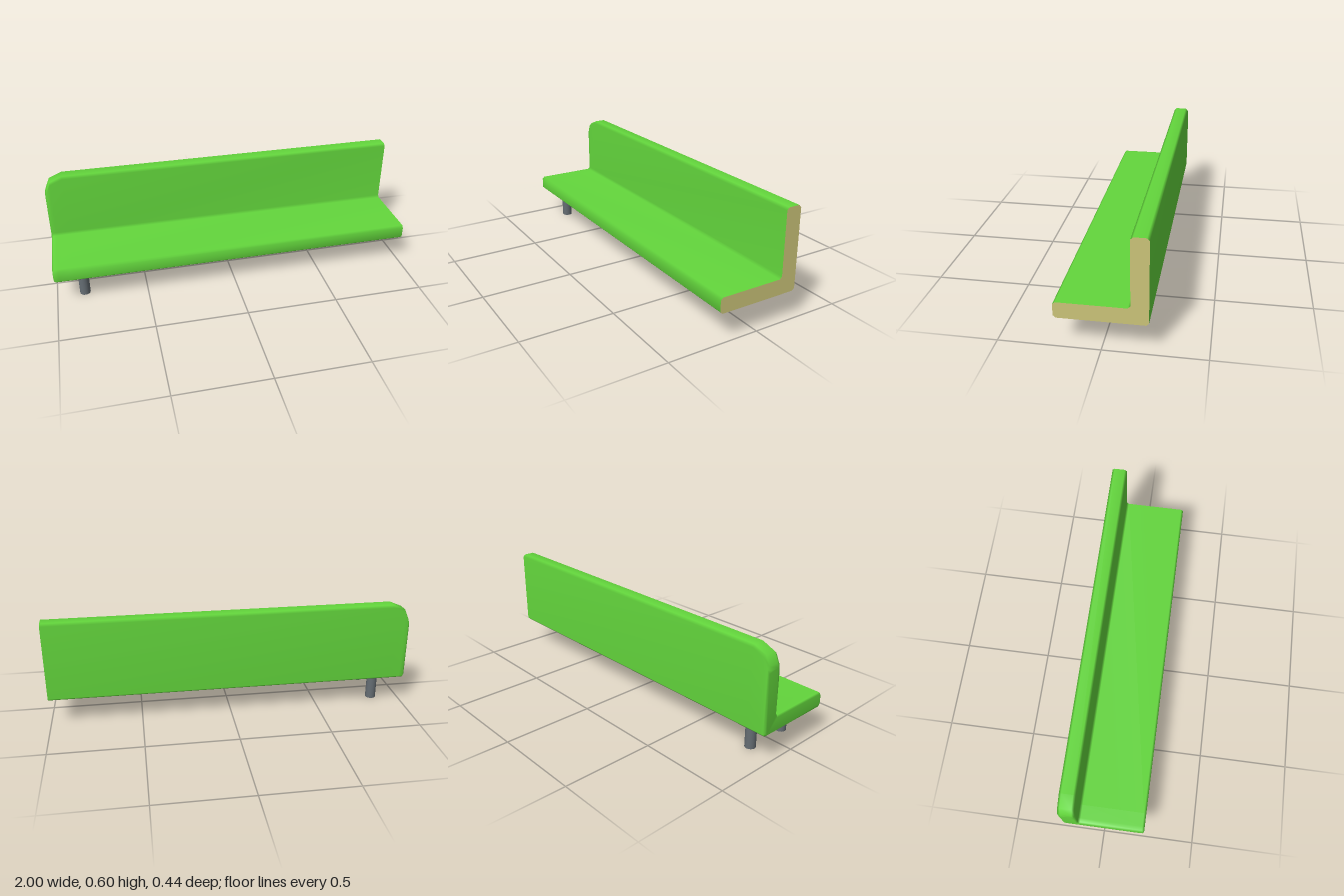
import * as THREE from 'three';

const green = new THREE.MeshStandardMaterial({ color: 0x63d63c });
green.name = 'green upholstery';
const tan = new THREE.MeshStandardMaterial({ color: 0xcdc67a });
tan.name = 'tan cut face';
const grey = new THREE.MeshStandardMaterial({ color: 0x656d73 });
grey.name = 'grey metal';

// L-shaped section as (z, y), chamfered by c, with every side drawn in by d
function section(top, d = 0, c = 0.0125) {
  const front = 0.2225 - d, back = -0.2225 + d, rest = -0.1375 - d;
  const bottom = 0.157 + d, seat = 0.24 - d;
  return [
    [front, bottom + c], [front, seat - c], [front - c, seat],
    [rest + c, seat], [rest, seat + c], [rest, top - c], [rest - c, top],
    [back + c, top], [back, top - c], [back, bottom + c],
    [back + c, bottom], [front - c, bottom],
  ].map(([z, y]) => new THREE.Vector2(z, y));
}

function geometryFrom(positions, index) {
  const g = new THREE.BufferGeometry();
  g.setAttribute('position', new THREE.Float32BufferAttribute(positions, 3));
  g.setIndex(index);
  g.computeVertexNormals();
  return g;
}

// Bench skin: sections swept along x, closed at the rounded end
function benchSkin() {
  const stations = [
    [1, section(0.6)],
    [-0.9, section(0.6)],
    [-0.97, section(0.57)],
    [-0.992, section(0.52)],
    [-1, section(0.5, 0.007)],
  ];
  const positions = [], index = [];
  const n = stations[0][1].length;
  for (const [x, pts] of stations) for (const p of pts) positions.push(x, p.y, p.x);
  for (let s = 0; s < stations.length - 1; s++) {
    for (let i = 0; i < n; i++) {
      const a = s * n + i, b = s * n + (i + 1) % n;
      index.push(a, b, a + n, b, b + n, a + n);
    }
  }
  const last = (stations.length - 1) * n;
  for (const t of THREE.ShapeUtils.triangulateShape(stations.at(-1)[1], [])) {
    index.push(...t.map((k) => last + k));
  }
  return geometryFrom(positions, index);
}

// Flat cut face at the joining end
function cutFace() {
  const pts = section(0.6);
  const tris = THREE.ShapeUtils.triangulateShape(pts, []);
  return geometryFrom(
    pts.flatMap((p) => [1, p.y, p.x]),
    tris.flatMap(([a, b, c]) => [a, c, b]),
  );
}

export function createModel() {
  const model = new THREE.Group();
  model.name = 'benchSegment';
  const add = (name, geometry, material) => {
    const mesh = new THREE.Mesh(geometry, material);
    mesh.name = name;
    model.add(mesh);
    return mesh;
  };

  add('seatAndBackrest', benchSkin(), green);
  add('cutEnd', cutFace(), tan);

  // Legs under the rounded end only
  const leg = new THREE.CylinderGeometry(0.029, 0.029, 0.157, 16);
  add('frontLeg', leg, grey).position.set(-0.847, 0.0785, 0.116);
  add('backLeg', leg, grey).position.set(-0.847, 0.0785, -0.127);

  return model;
}
